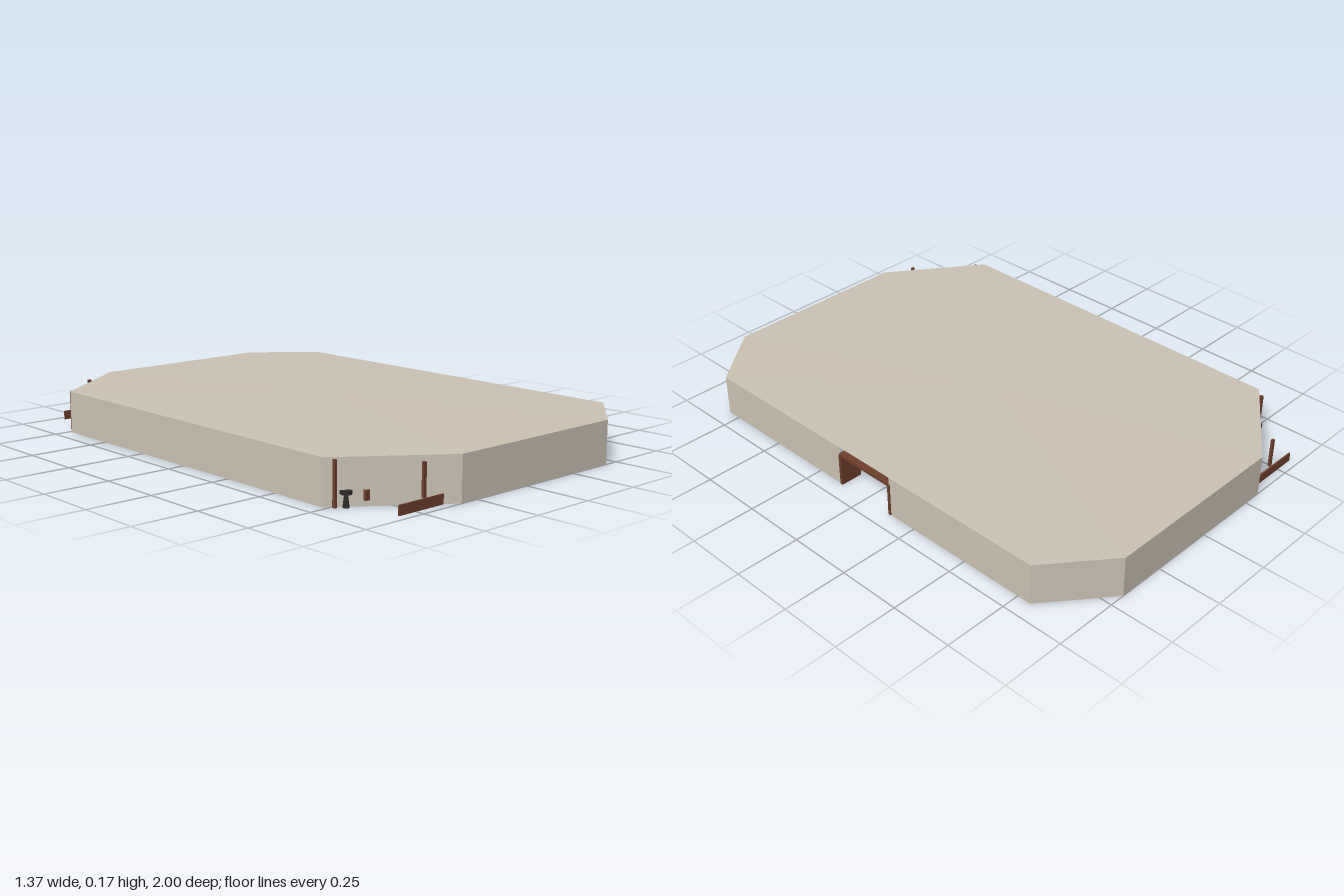
import * as THREE from 'three';

const mat = (name, color) => {
  const m = new THREE.MeshStandardMaterial({ color, side: THREE.DoubleSide, flatShading: true });
  m.name = name;
  return m;
};

export function createModel() {
  const plaster = mat('plaster', 0xcbc2b3);
  const wood = mat('brown wood', 0x6e3f2b);
  const teal = mat('teal', 0x2f686a);
  const iron = mat('dark iron', 0x2b2a28);
  const root = new THREE.Group();
  root.name = 'octagonalHall';

  const add = (name, geo, material, x, y, z, ry = 0, parent = root) => {
    const m = new THREE.Mesh(geo, material);
    m.name = name;
    m.position.set(x, y, z);
    m.rotation.y = ry;
    parent.add(m);
    return m;
  };
  // box placed by its centre in x, z and by its base in y
  const box = (name, material, w, h, d, x, y, z, parent = root) =>
    add(name, new THREE.BoxGeometry(w, h, d), material, x, y + h / 2, z, 0, parent);

  // plan of the hall, as [x, z]
  const H = 0.163;
  const plan = [
    [-0.685, -0.735], [-0.325, -1], [0.44, -1], [0.68, -0.805],
    [0.68, 0.805], [0.44, 1], [-0.325, 1], [-0.685, 0.735],
  ];

  // walls, with a doorway left open in the +x side
  const wall = ([ax, az], [bx, bz]) =>
    add('wall', new THREE.PlaneGeometry(Math.hypot(bx - ax, bz - az), H), plaster,
      (ax + bx) / 2, H / 2, (az + bz) / 2, Math.atan2(az - bz, bx - ax));
  plan.forEach((a, i) => {
    const b = plan[(i + 1) % plan.length];
    if (i === 3) {
      wall(a, [0.68, -0.13]);
      wall([0.68, 0.13], b);
    } else wall(a, b);
  });

  // shallow roof rising to an apex
  const tri = [];
  plan.forEach((a, i) => {
    const b = plan[(i + 1) % plan.length];
    tri.push(0.02, 0.173, 0, b[0], H, b[1], a[0], H, a[1]);
  });
  const roofGeo = new THREE.BufferGeometry();
  roofGeo.setAttribute('position', new THREE.Float32BufferAttribute(tri, 3));
  roofGeo.computeVertexNormals();
  add('roof', roofGeo, plaster, 0, 0, 0);

  // door frame
  for (const s of [-1, 1]) box('doorJamb', wood, 0.09, 0.13, 0.012, 0.638, 0, s * 0.13);
  box('doorLintel', wood, 0.09, 0.01, 0.27, 0.638, 0.125, 0);

  // teal panel on the wall facing the door
  box('tealPanel', teal, 0.008, 0.15, 0.48, -0.676, 0.01, 0);

  // ceiling beams
  for (let i = -3; i <= 3; i++) box('ceilingBeam', wood, 1.24, 0.012, 0.014, 0, 0.147, i * 0.25);

  // posts along the -x wall
  for (const z of [0.25, 0.5, 0.765])
    for (const s of [-1, 1]) box('wallPost', wood, 0.01, 0.158, 0.012, -0.66, 0, s * z);

  // skirting planks with posts on both end walls, running out past the corner
  for (const s of [-1, 1]) {
    for (const x of [0.31, 0.055, -0.2, -0.475]) {
      box('skirtingPlank', wood, 0.2, 0.035, 0.006, x, 0, s * 0.965);
      box('plankPost', wood, 0.012, 0.117, 0.01, x + 0.02, 0.035, s * 0.957);
    }
    // partitions inside the hall
    box('partition', wood, 0.24, 0.09, 0.008, 0.06, 0.01, s * 0.54);
  }

  // tables with a cushioned bench and two stools
  const tableSet = (x, z, cushion) => {
    const g = new THREE.Group();
    g.name = 'tableSet';
    g.position.set(x, 0, z);
    root.add(g);
    box('benchSeat', wood, 0.06, 0.035, 0.17, 0, 0.02, 0, g);
    box('benchBack', cushion, 0.012, 0.05, 0.17, 0.036, 0.03, 0, g);
    for (const s of [-1, 1]) {
      add('stool', new THREE.CylinderGeometry(0.02, 0.02, 0.012, 8), iron, -0.08, 0.05, s * 0.045, 0, g);
      add('stoolLeg', new THREE.CylinderGeometry(0.006, 0.012, 0.045, 6), iron, -0.08, 0.022, s * 0.045, 0, g);
    }
  };
  const sets = [
    [0.48, -0.74, plaster], [0.51, -0.3, plaster], [0.51, 0.35, plaster],
    [0.03, -0.71, plaster], [-0.25, -0.73, plaster], [-0.54, -0.74, plaster], [-0.5, -0.52, plaster],
    [0.04, 0.73, teal], [-0.26, 0.74, teal], [-0.55, 0.74, teal], [-0.5, 0.54, plaster],
  ];
  sets.forEach((t) => tableSet(...t));

  // long counter
  box('counterBase', wood, 0.05, 0.04, 0.28, -0.37, 0, 0.03);
  box('counterTop', wood, 0.09, 0.01, 0.33, -0.37, 0.04, 0.03);

  // curved benches
  const arcBench = (x, z, r, from, to) => {
    const s = new THREE.Shape();
    s.absarc(0, 0, r, from, to, false);
    s.absarc(0, 0, r - 0.03, to, from, true);
    const geo = new THREE.ExtrudeGeometry(s, { depth: 0.03, bevelEnabled: false, curveSegments: 14 });
    geo.rotateX(Math.PI / 2);
    add('curvedBench', geo, wood, x, 0.05, z);
  };
  arcBench(-0.15, -0.43, 0.15, -0.75, 2.3);
  arcBench(-0.37, 0.04, 0.2, Math.PI * 0.55, Math.PI * 1.45);

  // hanging lamps
  for (const [x, z] of [[0.25, 0], [0.24, 0.4], [0.24, -0.4]]) {
    add('lampRod', new THREE.CylinderGeometry(0.003, 0.003, 0.08, 6), iron, x, 0.12, z);
    add('lampBowl', new THREE.CylinderGeometry(0.012, 0.022, 0.02, 8), iron, x, 0.08, z);
  }
  // wheel on the teal panel
  add('wallWheel', new THREE.TorusGeometry(0.03, 0.004, 6, 16), iron, -0.668, 0.09, 0, Math.PI / 2);

  return root;
}
